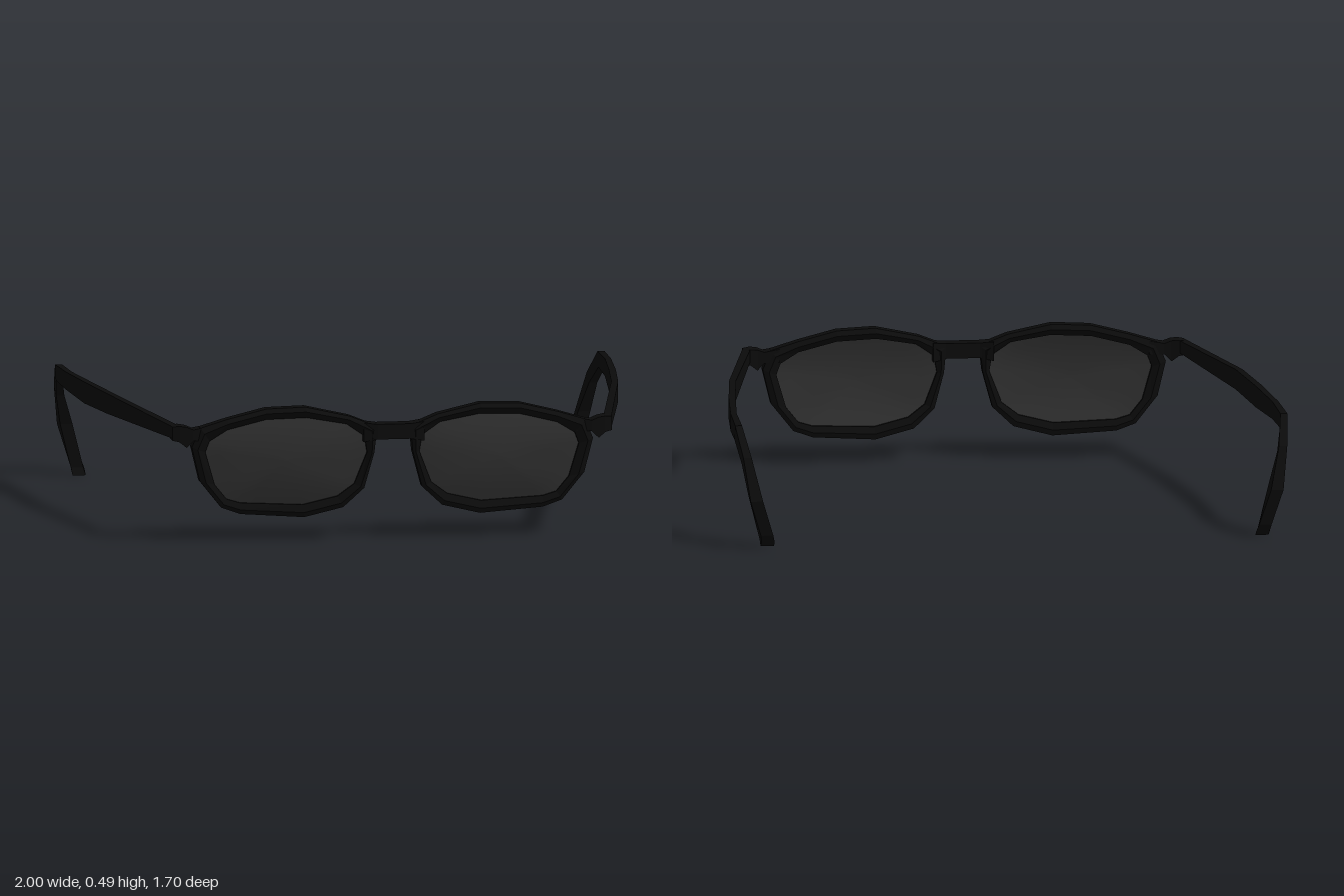
import * as THREE from 'three';

// Skin a list of cross-sections (arrays of [x, y, z]); closed joins last to first, otherwise ends are capped.
function loft(sections, closed = false) {
  const n = sections[0].length, m = sections.length, tris = [];
  for (let i = 0; i < (closed ? m : m - 1); i++) {
    const a = sections[i], b = sections[(i + 1) % m];
    for (let j = 0; j < n; j++) {
      const k = (j + 1) % n;
      tris.push([a[j], b[j], b[k]], [a[j], b[k], a[k]]);
    }
  }
  if (!closed) {
    const a = sections[0], b = sections[m - 1];
    for (let j = 1; j < n - 1; j++) tris.push([a[0], a[j], a[j + 1]], [b[0], b[j + 1], b[j]]);
  }
  // Make faces point outward whichever side is being built
  const v = (p) => new THREE.Vector3(...p);
  const volume = tris.reduce((s, [a, b, c]) => s + v(a).dot(v(b).cross(v(c))), 0);
  if (volume < 0) tris.forEach((t) => t.reverse());
  const geo = new THREE.BufferGeometry();
  geo.setAttribute('position', new THREE.Float32BufferAttribute(tris.flat(2), 3));
  geo.computeVertexNormals();
  return geo;
}

// Outer and inner rim outlines, matched point for point
const outer = [
  [0.06, 0.415], [0.16, 0.455], [0.32, 0.49], [0.46, 0.485], [0.60, 0.45], [0.70, 0.42], [0.73, 0.35],
  [0.70, 0.225], [0.62, 0.125], [0.55, 0.10], [0.32, 0.085], [0.18, 0.12], [0.105, 0.19], [0.07, 0.32],
];
const inner = [
  [0.105, 0.38], [0.17, 0.425], [0.315, 0.45], [0.46, 0.445], [0.60, 0.41], [0.665, 0.37], [0.68, 0.33],
  [0.645, 0.21], [0.60, 0.155], [0.55, 0.14], [0.325, 0.13], [0.20, 0.16], [0.14, 0.205], [0.095, 0.32],
];
// Rim section: [outer to inner, back to front]
const rimProfile = [[0, -0.35], [0, 0.3], [0.4, 0.5], [1, 0.2], [1, -0.25], [0.45, -0.5]];
// The front wraps back to the sides and leans slightly
const faceZ = (x, y) => 0.81 - 0.035 * Math.min(x / 0.5, 1) + (y - 0.3) * 0.05;

function rimGeometry(s) {
  return loft(outer.map(([ox, oy], i) => rimProfile.map(([t, d]) => {
    const x = THREE.MathUtils.lerp(ox, inner[i][0], t);
    const y = THREE.MathUtils.lerp(oy, inner[i][1], t);
    const thickness = 0.045 + 0.025 * THREE.MathUtils.clamp((oy - 0.1) / 0.3, 0, 1);
    return [s * x, y, faceZ(x, y) + d * thickness];
  })), true);
}

// Gently domed lens built from rings shrinking to the centre
function lensGeometry(s) {
  const cx = 0.385, cy = 0.295, rings = 5, n = inner.length, pos = [], index = [];
  for (let r = 0; r <= rings; r++) {
    const k = 1.03 * (1 - r / rings);
    for (const [px, py] of inner) {
      const x = cx + (px - cx) * k, y = cy + (py - cy) * k;
      pos.push(s * x, y, faceZ(x, y) + 0.022 * (1 - k * k));
    }
  }
  for (let r = 0; r < rings; r++) for (let j = 0; j < n; j++) {
    const a = r * n + j, b = r * n + (j + 1) % n, c = a + n, d = b + n;
    const faces = r < rings - 1 ? [[a, c, b], [b, c, d]] : [[a, c, b]];
    for (const f of faces) index.push(...(s > 0 ? f.reverse() : f));
  }
  const geo = new THREE.BufferGeometry();
  geo.setAttribute('position', new THREE.Float32BufferAttribute(pos, 3));
  geo.setIndex(index.map((v, i) => index[i - (i % 3) + 2 - (i % 3)]));
  geo.computeVertexNormals();
  return geo;
}

// Temple arm sections: [inner x, outer x, upper y, upper z, lower y, lower z]
const arm = [
  [0.770, 0.800, 0.425, 0.78, 0.382, 0.78],
  [0.905, 0.930, 0.440, 0.10, 0.367, 0.10],
  [0.942, 0.967, 0.436, -0.20, 0.358, -0.20],
  [0.970, 0.992, 0.430, -0.47, 0.366, -0.47],
  [0.975, 1.000, 0.425, -0.675, 0.370, -0.655],
  [0.955, 0.985, 0.330, -0.800, 0.300, -0.745],
  [0.920, 0.965, 0.180, -0.855, 0.190, -0.780],
  [0.880, 0.925, 0.050, -0.830, 0.030, -0.785],
  [0.872, 0.920, 0.020, -0.805, 0.002, -0.777],
];
const armGeometry = (s) => loft(arm.map(([xi, xo, yu, zu, yl, zl]) =>
  [[s * xi, yu, zu], [s * xo, yu, zu], [s * xo, yl, zl], [s * xi, yl, zl]]));

// Box-like bar along x; sections are [x, low y, high y, back z, front z]
const bar = (list, s = 1) => loft(list.map(([x, y0, y1, z0, z1]) =>
  [[s * x, y0, z0], [s * x, y1, z0], [s * x, y1, z1], [s * x, y0, z1]]));
const hinge = [
  [0.67, 0.375, 0.425, 0.75, 0.80], [0.725, 0.375, 0.415, 0.75, 0.808],
  [0.75, 0.350, 0.425, 0.745, 0.805], [0.775, 0.370, 0.428, 0.735, 0.80], [0.80, 0.375, 0.425, 0.735, 0.79],
];
const bridge = [
  [-0.11, 0.36, 0.43, 0.77, 0.835], [-0.06, 0.37, 0.425, 0.785, 0.845],
  [0.06, 0.37, 0.425, 0.785, 0.845], [0.11, 0.36, 0.43, 0.77, 0.835],
];

export function createModel() {
  const frameBlack = new THREE.MeshStandardMaterial({ color: 0x0b0b0b, flatShading: true });
  frameBlack.name = 'frame black';
  const lensGrey = new THREE.MeshStandardMaterial({ color: 0x303030, side: THREE.DoubleSide });
  lensGrey.name = 'lens grey';

  const model = new THREE.Group();
  model.name = 'glasses';
  const add = (name, geo, mat) => {
    const mesh = new THREE.Mesh(geo, mat);
    mesh.name = name;
    model.add(mesh);
  };

  add('bridge', bar(bridge), frameBlack);
  for (const [side, s] of [['left', 1], ['right', -1]]) {
    add(side + 'Rim', rimGeometry(s), frameBlack);
    add(side + 'Lens', lensGeometry(s), lensGrey);
    add(side + 'Hinge', bar(hinge, s), frameBlack);
    add(side + 'Temple', armGeometry(s), frameBlack);
  }
  return model;
}
